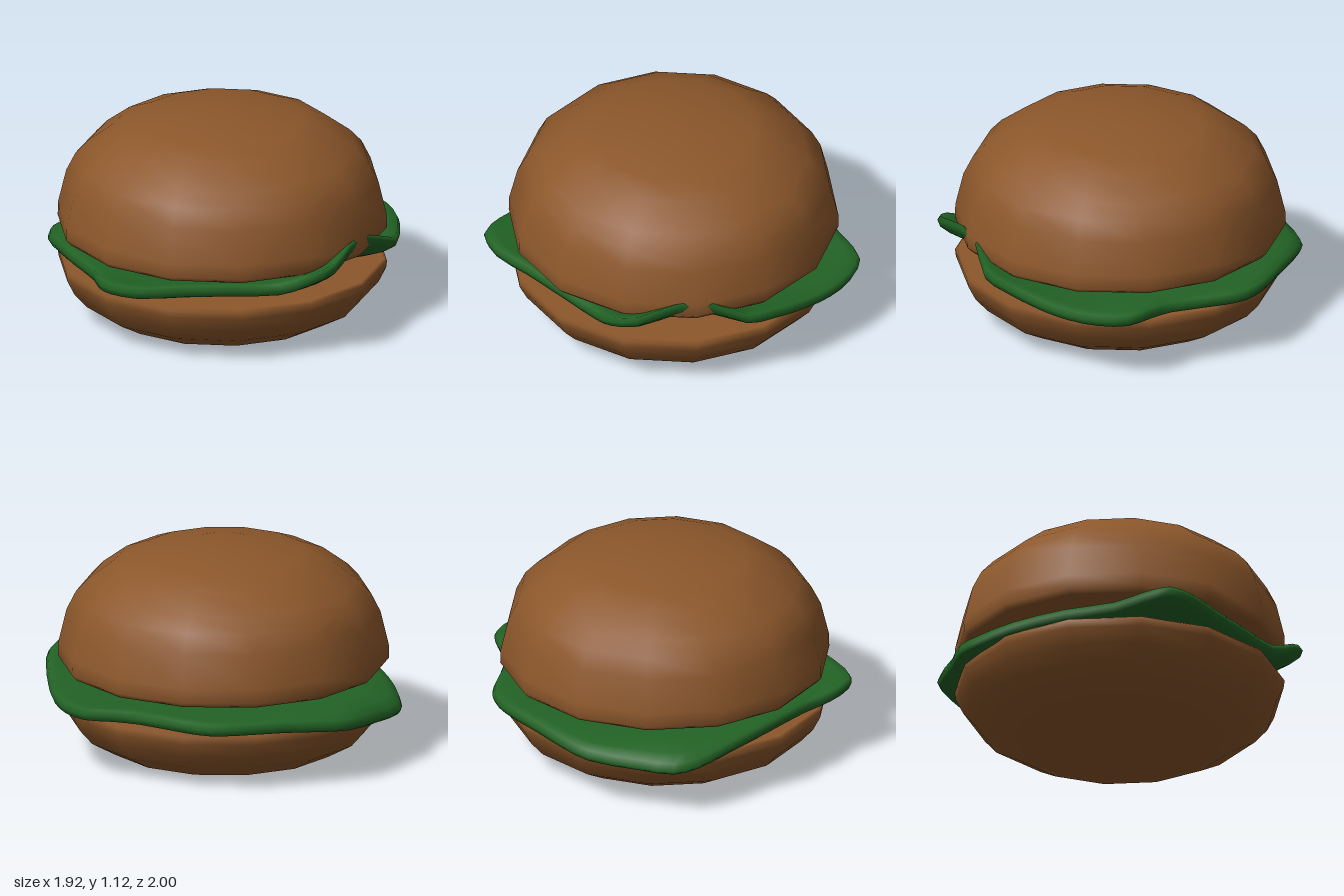
import * as THREE from 'three';

const bunMaterial = new THREE.MeshStandardMaterial({ color: 0x8c572b });
bunMaterial.name = 'toasted brown';
const leafMaterial = new THREE.MeshStandardMaterial({ color: 0x226325 });
leafMaterial.name = 'leaf green';

// Fourteen-sided turned bun from a bottom-to-top profile of [radius, height]
function makeBun(name, profile) {
  const points = profile.map(([r, y]) => new THREE.Vector2(r, y));
  const mesh = new THREE.Mesh(new THREE.LatheGeometry(points, 14), bunMaterial);
  mesh.name = name;
  return mesh;
}

// Wavy leaf: a thick sheet whose height blends from the middle to the rim curve
function makeLettuce() {
  const rim = [
    [0.13, 0.38, -1.0], [0.29, 0.38, -0.97], [0.44, 0.385, -0.88], [0.57, 0.40, -0.76],
    [0.73, 0.44, -0.59], [0.815, 0.47, -0.47], [0.825, 0.55, -0.25], [0.88, 0.56, -0.08],
    [0.96, 0.52, 0.12], [0.90, 0.47, 0.26], [0.78, 0.41, 0.35], [0.60, 0.41, 0.55],
    [0.42, 0.41, 0.75], [0.27, 0.41, 0.93], [0.14, 0.42, 0.995], [0, 0.40, 0.94],
    [-0.14, 0.38, 0.84], [-0.40, 0.37, 0.73], [-0.66, 0.34, 0.59], [-0.82, 0.30, 0.48],
    [-0.91, 0.285, 0.37], [-0.93, 0.29, 0.18], [-0.96, 0.32, -0.1], [-0.90, 0.34, -0.26],
    [-0.80, 0.36, -0.44], [-0.65, 0.37, -0.68], [-0.55, 0.37, -0.77], [-0.42, 0.37, -0.81],
    [-0.13, 0.37, -0.85], [0, 0.38, -0.93],
  ].map(p => new THREE.Vector3(...p));
  const curve = new THREE.CatmullRomCurve3(rim, true);

  // Radial section [reach, thickness offset], over the top and back underneath
  const section = [
    [0, 0.038], [0.4, 0.038], [0.65, 0.038], [0.82, 0.038], [0.93, 0.038], [0.985, 0.03],
    [1, 0], [0.985, -0.03], [0.93, -0.038], [0.82, -0.038], [0.65, -0.038], [0.4, -0.038], [0, -0.038],
  ];
  const middle = 0.357, around = rim.length * 2, n = section.length;
  const positions = [], indices = [];
  for (let i = 0; i < around; i++) {
    const p = curve.getPoint(i / around);
    // Drooping edges stay level over the bun and fall only near the rim
    const bend = p.y < middle ? 12 : 4;
    for (const [t, offset] of section) {
      positions.push(p.x * t, middle + (p.y - middle) * t ** bend + offset, p.z * t);
    }
    for (let j = 0; j < n - 1; j++) {
      const a = i * n + j, b = ((i + 1) % around) * n + j;
      indices.push(a, b + 1, a + 1, a, b, b + 1);
    }
  }
  const geometry = new THREE.BufferGeometry();
  geometry.setAttribute('position', new THREE.Float32BufferAttribute(positions, 3));
  geometry.setIndex(indices);
  geometry.computeVertexNormals();
  const mesh = new THREE.Mesh(geometry, leafMaterial);
  mesh.name = 'lettuce';
  return mesh;
}

export function createModel() {
  const burger = new THREE.Group();
  burger.name = 'burger';
  burger.add(
    makeBun('bottomBun', [
      [0, 0], [0.5, 0], [0.62, 0.025], [0.76, 0.105], [0.83, 0.185],
      [0.87, 0.265], [0.875, 0.305], [0.86, 0.32], [0, 0.32],
    ]),
    makeLettuce(),
    makeBun('topBun', [
      [0, 0.468], [0.85, 0.468], [0.875, 0.495], [0.873, 0.57], [0.83, 0.75], [0.78, 0.85],
      [0.715, 0.92], [0.575, 1.025], [0.445, 1.075], [0.19, 1.122], [0, 1.122],
    ]),
  );
  return burger;
}
